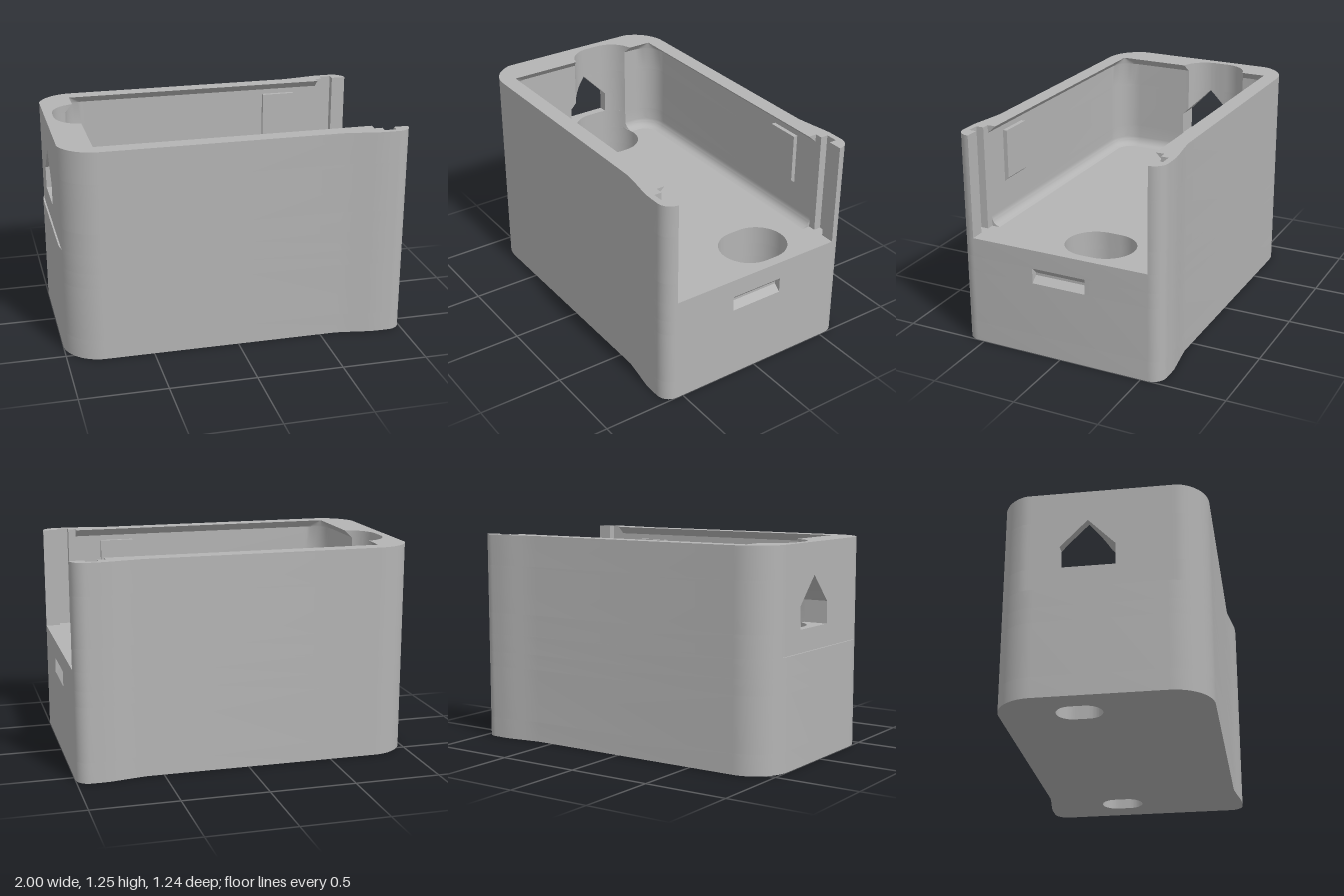
import * as THREE from 'three';
import { toCreasedNormals } from 'three/addons/utils/BufferGeometryUtils.js';

const FLOOR = 0.64, LIP = 1.2, TOP = 1.245;
const WELL = { x: 0.77, z: -0.145, r: 0.17, half: 0.035 };
const lerp = THREE.MathUtils.lerp;

// Half of the outer plan (z > 0), running from the closed end to the open end.
function outerHalf(xMin) {
  const pts = [];
  for (let i = 0; i <= 14; i++) {
    const a = Math.PI - (i / 14) * Math.PI / 2;
    pts.push([Math.max(xMin, -0.78 + 0.22 * Math.cos(a)), 0.365 + 0.22 * Math.sin(a)]);
  }
  pts.push([0.6, 0.585], [0.7, 0.6], [0.77, 0.612], [0.82, 0.619], [0.86, 0.62]);
  for (let i = 0; i <= 10; i++) {
    const a = Math.PI / 2 * (1 - i / 10);
    pts.push([0.92 + 0.08 * Math.cos(a), 0.54 + 0.08 * Math.sin(a)]);
  }
  return pts;
}

// Rounded slot hole; shape y is -z.
function stadium(x, r, half) {
  const p = new THREE.Path(), y = -WELL.z;
  p.absarc(x, y + half, r, 0, Math.PI, false);
  p.absarc(x, y - half, r, Math.PI, Math.PI * 2, false);
  p.closePath();
  return p;
}

// One horizontal slab of the solid base.
function slab(y0, y1, r, half, notch) {
  const h = outerHalf(-1);
  const pts = [...h, ...(notch ? [[1, 0.163], [0.96, 0.163], [0.96, -0.163], [1, -0.163]] : []),
    ...h.slice().reverse().map(([x, z]) => [x, -z])];
  const shape = new THREE.Shape(pts.map(([x, z]) => new THREE.Vector2(x, z)));
  for (const s of [-1, 1]) shape.holes.push(stadium(s * WELL.x, r, half));
  const g = new THREE.ExtrudeGeometry(shape, { depth: y1 - y0, bevelEnabled: false, curveSegments: 20 });
  g.rotateX(-Math.PI / 2).translate(0, y0, 0);
  return toCreasedNormals(g, 0.5);
}

// Cavity size at height y: floor fillet below, overhanging lip above.
function cavity(y) {
  if (y < 0.7) {
    const t = (0.7 - y) / 0.06, d = 0.05 * (1 - Math.sqrt(Math.max(0, 1 - t * t)));
    return { w: 0.54 - d, far: -0.845 + d, r: 0.145 - d };
  }
  const t = Math.max(0, (y - LIP) / (TOP - LIP));
  return { w: 0.54 - 0.05 * t, far: -0.845 + 0.045 * t, r: lerp(0.145, 0.002, t) };
}

// Plan of one wall half at height y; gap is the half width of the window.
function wallPlan(y, s, gap) {
  const { w, far, r } = cavity(y), c = s * WELL.z, cut = -0.075 * s + gap;
  const pts = [[-0.99, cut], ...outerHalf(-0.99)];
  pts.push([0.915, 0.54], [0.915, 0.585], [0.845, 0.585], [0.845, 0.54], [0.8, 0.54], [0.8, w]);
  for (let i = 0; i <= 10; i++) {
    const a = Math.PI / 2 * (1 + i / 10);
    pts.push([far + r + r * Math.cos(a), w - r + r * Math.sin(a)]);
  }
  const edge = c + WELL.half + Math.sqrt(WELL.r ** 2 - (far + WELL.x) ** 2);
  for (let i = 0; i <= 14; i++) {
    const z = lerp(Math.max(edge, cut), cut, i / 14);
    const d = Math.max(0, Math.abs(z - c) - WELL.half);
    const wx = d < WELL.r ? -WELL.x - Math.sqrt(WELL.r ** 2 - d * d) : far;
    pts.push([Math.min(far, wx), z]);
  }
  return pts.map(([x, z]) => [x, z * s]);
}

// Joins plans at successive heights into a capped solid.
function loft(plans, ys) {
  const pos = [], n = plans[0].length;
  const flip = THREE.ShapeUtils.area(plans[0].map(([x, z]) => new THREE.Vector2(x, z))) < 0;
  const tri = (a, b, c) => pos.push(...a, ...(flip ? [...c, ...b] : [...b, ...c]));
  const at = (k, i) => [plans[k][i % n][0], ys[k], plans[k][i % n][1]];
  for (let k = 0; k < ys.length - 1; k++) {
    for (let i = 0; i < n; i++) {
      tri(at(k, i), at(k + 1, i), at(k + 1, i + 1));
      tri(at(k, i), at(k + 1, i + 1), at(k, i + 1));
    }
  }
  for (const k of [0, ys.length - 1]) {
    const v = plans[k].map(([x, z]) => new THREE.Vector2(x, z));
    for (const [a, b, c] of THREE.ShapeUtils.triangulateShape(v, [])) {
      const area = THREE.ShapeUtils.area([v[a], v[b], v[c]]);
      // Bottom caps look down, top caps look up.
      const [p, q, t] = [at(k, a), at(k, b), at(k, c)];
      if ((area > 0) === (k === 0)) pos.push(...p, ...q, ...t);
      else pos.push(...p, ...t, ...q);
    }
  }
  const g = new THREE.BufferGeometry();
  g.setAttribute('position', new THREE.Float32BufferAttribute(pos, 3));
  return toCreasedNormals(g, 0.5);
}

// Prism from an outline, extruded along z and centred.
function prism(pts, depth) {
  const shape = new THREE.Shape(pts.map(([x, y]) => new THREE.Vector2(x, y)));
  return new THREE.ExtrudeGeometry(shape, { depth, bevelEnabled: false }).translate(0, 0, -depth / 2);
}

export function createModel() {
  const group = new THREE.Group();
  const grey = new THREE.MeshStandardMaterial({ color: 0xb4b4b4 });
  grey.name = 'grey plastic';
  const add = (name, geometry) => {
    const m = new THREE.Mesh(geometry, grey);
    m.name = name;
    group.add(m);
    return m;
  };

  // Solid base with two screw wells and a latch slot in the open end
  add('bottomPlate', slab(0, 0.12, 0.09, 0.038, false));
  add('baseLower', slab(0.12, 0.44, WELL.r, WELL.half, false));
  add('baseLatchLayer', slab(0.44, 0.53, WELL.r, WELL.half, true));
  add('baseUpper', slab(0.53, FLOOR, WELL.r, WELL.half, false));
  add('latchSlotTop', prism([[0.96, 0.49], [1, 0.53], [0.96, 0.53]], 0.326));
  add('latchSlotBottom', prism([[0.96, 0.44], [1, 0.44], [0.96, 0.475]], 0.326));

  // Walls in three bands; the middle one leaves the gabled window open
  const steps = (a, b, n) => Array.from({ length: n + 1 }, (_, i) => lerp(a, b, i / n));
  const bands = {
    wallLower: [...steps(FLOOR, 0.7, 8), 0.77],
    wallWindow: [0.77, ...steps(0.9, 1.06, 8)],
    wallUpper: [1.06, ...steps(LIP, TOP, 4)],
  };
  for (const s of [1, -1]) {
    const side = s > 0 ? 'Front' : 'Back';
    for (const [name, ys] of Object.entries(bands)) {
      const gap = y => name === 'wallWindow' ? 0.155 * Math.min(1, (1.06 - y) / 0.16) : 0;
      add(name + side, loft(ys.map(y => wallPlan(y, s, gap(y))), ys));
    }
    // Raised pad on the inside of each long wall
    const pad = prism([[-0.545, 0.86], [-0.515, 0.885], [-0.515, 1.17], [-0.545, 1.17]], 0.2);
    const m = add('innerPad' + side, pad);
    m.rotation.y = s > 0 ? Math.PI / 2 : -Math.PI / 2;
    m.position.x = 0.545;
  }
  return group;
}
